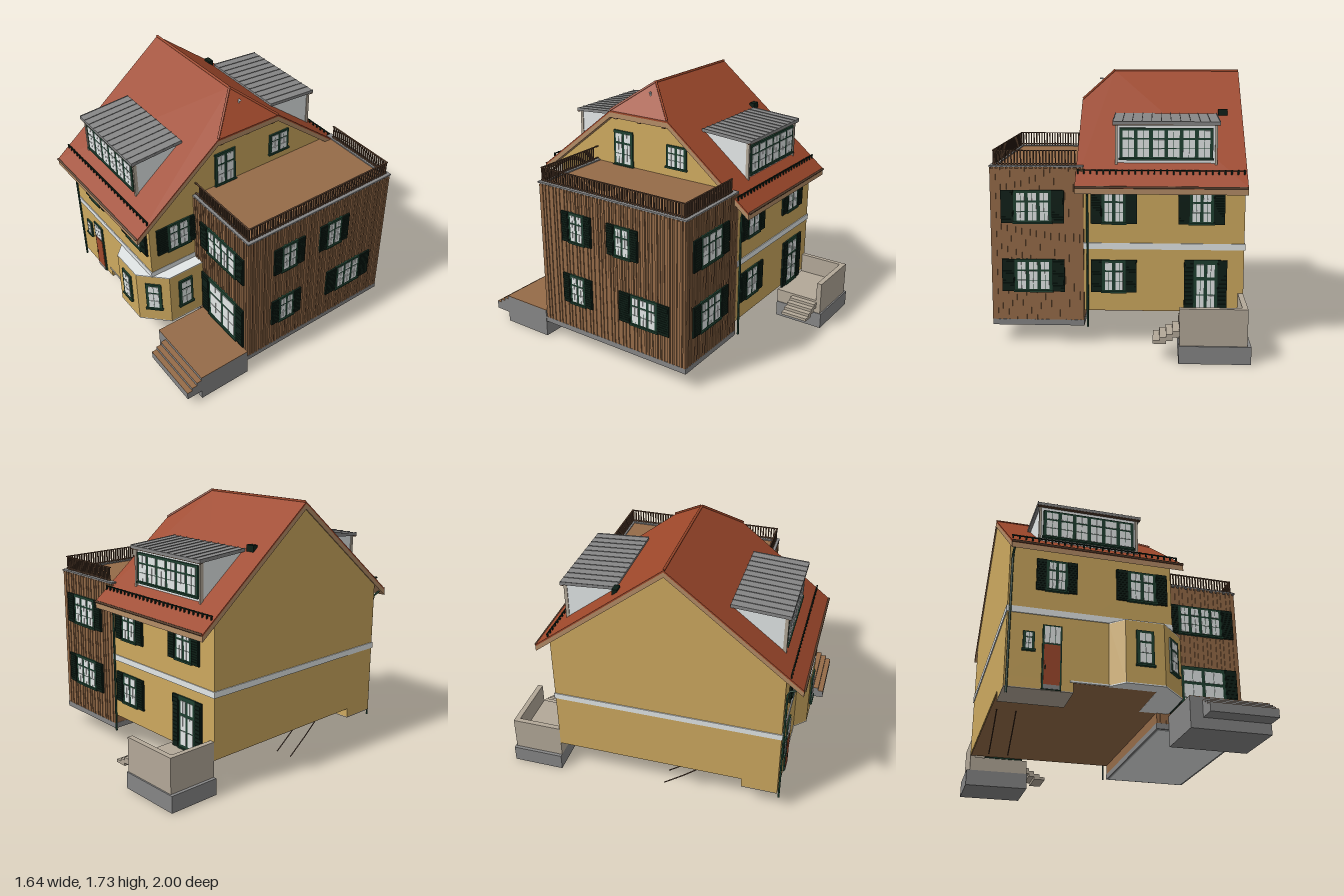
import * as THREE from 'three';
import { mergeGeometries } from 'three/addons/utils/BufferGeometryUtils.js';
import { ConvexGeometry } from 'three/addons/geometries/ConvexGeometry.js';

const mat = (name, color) => Object.assign(new THREE.MeshStandardMaterial({ color }), { name });

export function createModel() {
  const M = {
    roof: mat('roof tile red', 0x9e482b),
    wall: mat('ochre plaster', 0xcda95f),
    wood: mat('brown timber', 0x956b48),
    dark: mat('dark timber', 0x5c4230),
    grey: mat('grey concrete', 0x868686),
    beige: mat('beige stone', 0xb3a898),
    frame: mat('green frame', 0x1e4030),
    shutter: mat('dark shutter green', 0x0d1e16),
    pale: mat('pale glass and trim', 0xe8ecec),
    tan: mat('tan eaves', 0xb48c66),
  };
  const house = new THREE.Group();
  house.name = 'house';

  const add = (name, m, geo, parent = house) => {
    const mesh = new THREE.Mesh(geo, m);
    mesh.name = name;
    parent.add(mesh);
    return mesh;
  };
  // A list of boxes [x0, x1, y0, y1, z0, z1] merged into one mesh
  const boxes = (name, m, list, parent) => add(name, m, mergeGeometries(list.map(([a, b, c, d, e, f]) =>
    new THREE.BoxGeometry(b - a, d - c, f - e).translate((a + b) / 2, (c + d) / 2, (e + f) / 2))), parent);
  const extrude = (pts, depth) => new THREE.ExtrudeGeometry(
    new THREE.Shape(pts.map(p => new THREE.Vector2(...p))), { depth, bevelEnabled: false });
  // Plan outline [x, z] raised from y0 to y1
  const plan = (name, m, pts, y0, y1) =>
    add(name, m, extrude(pts.map(([x, z]) => [x, -z]), y1 - y0).rotateX(-Math.PI / 2).translate(0, y0, 0));
  // Side outline [z, y] drawn out from x0 to x1
  const section = (name, m, pts, x0, x1, parent) =>
    add(name, m, extrude(pts.map(([z, y]) => [-z, y]), x1 - x0).rotateY(Math.PI / 2).translate(x0, 0, 0), parent);
  // Convex sheet with vertical thickness
  const sheet = (name, m, pts, drop, t) => add(name, m, new ConvexGeometry(pts.flatMap(([x, y, z]) =>
    [new THREE.Vector3(x, y - drop, z), new THREE.Vector3(x, y - drop - t, z)])));
  const tube = (name, m, pts, r) => {
    const path = new THREE.CurvePath();
    const v = pts.map(p => new THREE.Vector3(...p));
    for (let i = 1; i < v.length; i++) path.add(new THREE.LineCurve3(v[i - 1], v[i]));
    return add(name, m, new THREE.TubeGeometry(path, 24, r, 6));
  };

  // Window: frame, panes and optional shutters, centred on x with its foot at y
  const windowUnit = (name, x, y, z, turn, w, h, casements, sw = 0, parent = house) => {
    const g = new THREE.Group();
    g.name = name;
    g.position.set(x, y, z);
    g.rotation.y = turn;
    parent.add(g);
    boxes('frame', M.frame, [[-w / 2, w / 2, 0, h, -0.01, 0.009], [-w / 2 - 0.006, w / 2 + 0.006, -0.004, 0.008, 0, 0.018]], g);
    const panes = [], cw = (w - 0.016) / casements, edge = Math.min(0.01, cw * 0.13);
    const rows = [[0.08, 0.345], [0.365, 0.63], [0.69, 0.92]];
    for (let c = 0; c < casements; c++)
      for (let k = 0; k < 2; k++)
        for (const [a, b] of rows) {
          const pw = cw / 2 - edge, x0 = -w / 2 + 0.008 + c * cw + edge + k * pw;
          panes.push([x0 + 0.0015, x0 + pw - 0.0015, h * a, h * b, 0.008, 0.012]);
        }
    boxes('panes', M.pale, panes, g);
    if (!sw) return;
    const leaves = [], slats = [];
    for (const s of [-1, 1]) {
      const c = s * (w + sw) / 2;
      leaves.push([c - sw / 2, c + sw / 2, 0, h, 0, 0.012]);
      for (let i = 0; i < 12; i++) {
        const y0 = h * (0.05 + i * 0.075);
        slats.push([c - sw / 2 + 0.006, c + sw / 2 - 0.006, y0, y0 + h * 0.066, 0.01, 0.016]);
      }
    }
    boxes('shutters', M.shutter, leaves, g);
    boxes('shutterSlats', M.shutter, slats, g);
  };

  // Main house
  section('mainWalls', M.wall, [[0.86, 0.22], [0.86, 1.086], [0.31, 1.525], [-0.09, 1.525], [-0.65, 1.078], [-0.65, 0.22]], -0.8, 0.21);
  section('atticWall', M.wall, [[0.31, 1.525], [0.11, 1.683], [-0.09, 1.525]], -0.8, 0);
  boxes('storeyBand', M.pale, [[-0.806, 0.212, 0.62, 0.66, -0.656, 0.866]]);
  boxes('floorSlab', M.wood, [[-0.795, 0.21, 0.215, 0.221, -0.645, 0.855]]);
  boxes('baseTrim', M.pale, [[-0.42, 0.2, 0.216, 0.226, 0.85, 0.864]]);
  boxes('entranceFoot', M.wall, [[-0.8, -0.4, 0.158, 0.22, 0.62, 0.86]]);
  boxes('entranceFloor', M.beige, [[-0.8, -0.4, 0.152, 0.158, 0.62, 0.86]]);

  // Roof with half hip at the right end
  const sheets = (name, pts) => {
    sheet(name + 'Tiles', M.roof, pts, 0, 0.012);
    sheet(name + 'Boards', M.tan, pts, 0.012, 0.035);
  };
  for (const s of [1, -1]) {
    const side = s > 0 ? 'front' : 'back', at = d => 0.11 + s * d;
    sheets(side + 'Roof', [[-0.808, 1.72, 0.11], [0.05, 1.72, 0.11], [0.257, 1.531, at(0.237)], [0.257, 1.035, at(0.86)], [-0.808, 1.035, at(0.86)]]);
    tube(side + 'Gutter', M.dark, [[-0.808, 1.032, at(0.862)], [0.257, 1.032, at(0.862)]], 0.008);
    tube(side + 'HipRidge', M.roof, [[0.05, 1.723, 0.11], [0.257, 1.534, at(0.237)]], 0.008);
    const guard = [[-0.8, 0.25, 1.122, 1.128, at(0.775) - 0.004, at(0.775) + 0.004]];
    for (let i = 0; i < 27; i++) {
      const x = -0.795 + i * 0.0398;
      guard.push([x, x + 0.009, 1.1, 1.13, at(0.775) - 0.004, at(0.775) + 0.004]);
    }
    boxes(side + 'SnowGuard', M.shutter, guard);
    const wz = s > 0 ? 0.87 : -0.66, x = s > 0 ? -0.785 : 0.187;
    tube(side + 'Downpipe', M.frame, [[x, 1.025, at(0.85)], [x, 0.99, wz], [x, 0.11, wz]], 0.007);
  }
  sheets('hip', [[0.05, 1.72, 0.11], [0.257, 1.531, 0.347], [0.257, 1.531, -0.127]]);
  tube('ridge', M.roof, [[-0.808, 1.719, 0.11], [0.05, 1.719, 0.11]], 0.009);
  boxes('purlinEnds', M.dark, [0.31, 0.11, -0.09].map(z => [0.2, 0.25, 1.475, 1.495, z - 0.012, z + 0.012]));
  tube('ventPipe', M.pale, [[0.13, 1.63, 0.095], [0.13, 1.665, 0.095], [0.155, 1.665, 0.095]], 0.006);
  boxes('roofVent', M.shutter, [[-0.71, -0.65, 1.43, 1.475, -0.25, -0.215]]);

  // Dormers, one per slope
  for (const turn of [0, Math.PI]) {
    const d = new THREE.Group();
    d.name = turn ? 'backDormer' : 'frontDormer';
    d.position.set(-0.305, 0, 0.11);
    d.rotation.y = turn;
    house.add(d);
    section('dormerWalls', M.pale, [[0.7, 1.15], [0.7, 1.41], [0.36, 1.435], [0.36, 1.415]], -0.315, 0.315, d);
    section('dormerRoof', M.grey, [[0.73, 1.405], [0.73, 1.424], [0.36, 1.448], [0.36, 1.43]], -0.335, 0.335, d);
    for (let i = 0; i < 12; i++) {
      const x = -0.335 + i * 0.0605;
      section('roofSeam', M.grey, [[0.73, 1.42], [0.73, 1.428], [0.36, 1.452], [0.36, 1.445]], x, x + 0.004, d);
    }
    boxes('dormerPosts', M.beige, [[-0.32, -0.305, 1.15, 1.41, 0.69, 0.712], [0.305, 0.32, 1.15, 1.41, 0.69, 0.712]], d);
    boxes('dormerFascia', M.dark, [[-0.335, 0.335, 1.4, 1.411, 0.71, 0.728]], d);
    windowUnit('dormerWindow', 0, 1.185, 0.702, 0, 0.585, 0.198, 6, 0, d);
  }

  // Bay
  const bay = [[-0.19, 0.85], [-0.19, 0.86], [-0.11, 0.94], [0.13, 0.94], [0.29, 0.78], [0.29, 0.515], [0.1, 0.515], [0.1, 0.85]];
  plan('bayWalls', M.wall, bay, 0.222, 0.616);
  plan('bayRoof', M.pale, bay, 0.616, 0.622);
  plan('bayFloor', M.pale, bay, 0.214, 0.222);

  // Timber annex
  boxes('annexBase', M.grey, [[0.21, 0.8, 0.113, 0.15, -0.65, 0.52]]);
  boxes('annexUnderside', M.pale, [[0.225, 0.785, 0.109, 0.114, -0.635, 0.505]]);
  boxes('annexWalls', M.wood, [[0.212, 0.796, 0.15, 1.13, -0.646, 0.516]]);
  const battens = [], step = [0.024, 0.038, 0.03];
  for (let x = 0.212, i = 0; x < 0.78; x += step[i++ % 3])
    battens.push([x, x + 0.016, 0.15, 1.14, 0.515, 0.521], [x, x + 0.016, 0.15, 1.14, -0.651, -0.645]);
  for (let z = -0.645, i = 0; z < 0.5; z += step[i++ % 3]) battens.push([0.795, 0.802, 0.15, 1.14, z, z + 0.016]);
  boxes('annexBattens', M.wood, battens);
  boxes('annexCoping', M.grey, [[0.212, 0.804, 1.14, 1.15, 0.48, 0.522], [0.212, 0.804, 1.14, 1.15, -0.652, -0.61], [0.762, 0.804, 1.14, 1.15, -0.652, 0.522]]);
  boxes('roofDeck', M.wood, [[0.21, 0.765, 1.12, 1.142, -0.62, 0.485]]);

  // Balustrade
  const rails = [];
  for (const y of [1.156, 1.239])
    rails.push([0.215, 0.785, y, y + 0.006, 0.495, 0.505], [0.255, 0.785, y, y + 0.006, -0.631, -0.621], [0.774, 0.784, y, y + 0.006, -0.632, 0.506]);
  for (let x = 0.262; x < 0.78; x += 0.02)
    rails.push([x, x + 0.008, 1.145, 1.244, 0.496, 0.504], [x, x + 0.008, 1.145, 1.244, -0.63, -0.622]);
  for (let z = -0.625; z < 0.5; z += 0.02) rails.push([0.775, 0.783, 1.145, 1.244, z, z + 0.008]);
  boxes('balustrade', M.dark, rails);

  // Garden terrace and steps
  boxes('terraceBase', M.grey, [[0.29, 0.802, 0, 0.196, 0.52, 0.89]]);
  boxes('terraceDeck', M.wood, [[0.29, 0.802, 0.196, 0.2, 0.52, 0.89]]);
  for (let i = 0; i < 3; i++) {
    const z = 0.89 + i * 0.0367, top = 0.175 - i * 0.024;
    boxes('terraceStep', M.grey, [[0.37, 0.802, 0.07, top - 0.003, z, z + 0.0367]]);
    boxes('terraceTread', M.wood, [[0.37, 0.802, top - 0.003, top, z, z + 0.0367]]);
  }

  // Back porch with parapet and side steps
  boxes('porchBase', M.grey, [[-0.82, -0.385, 0, 0.11, -1, -0.65]]);
  boxes('porchPlatform', M.beige, [[-0.79, -0.39, 0.11, 0.205, -0.97, -0.65]]);
  boxes('porchParapet', M.beige, [[-0.798, -0.39, 0.11, 0.34, -0.99, -0.955], [-0.798, -0.765, 0.11, 0.34, -0.99, -0.65]]);
  boxes('porchSteps', M.beige, [0, 1, 2, 3].map(i =>
    [-0.39 + i * 0.04, -0.35 + i * 0.04, Math.max(0.11, 0.15 - i * 0.02), 0.19 - i * 0.02, -0.96, -0.77]));

  // Thin rods below the left side
  for (const x of [-0.76, -0.64]) tube('groundRod', M.dark, [[x, 0.21, 0.34], [x, 0.11, 0.22], [x, 0.005, 0.08]], 0.004);

  // Windows: x, y, z, turn, width, height, casements, shutter width
  const R = Math.PI / 2, B = Math.PI;
  const list = [
    ['frontLeftWindow', -0.512, 0.785, 0.862, 0, 0.13, 0.21, 2, 0.06],
    ['frontRightWindow', 0.02, 0.785, 0.862, 0, 0.18, 0.21, 2, 0.072],
    ['annexFrontWindow', 0.533, 0.785, 0.522, 0, 0.305, 0.21, 4, 0.08],
    ['terraceDoors', 0.533, 0.215, 0.522, 0, 0.305, 0.34, 2, 0.08],
    ['smallFrontWindow', -0.668, 0.385, 0.862, 0, 0.068, 0.12, 1],
    ['bayFrontWindow', 0.008, 0.33, 0.942, 0, 0.108, 0.225, 1],
    ['bayCornerWindow', 0.211, 0.33, 0.861, B / 4, 0.108, 0.225, 1],
    ['baySideWindow', 0.292, 0.33, 0.66, R, 0.108, 0.225, 1],
    ['sideUpperWindow', 0.212, 0.785, 0.645, R, 0.17, 0.21, 2, 0.08],
    ['gableDoor', 0.212, 1.14, 0.267, R, 0.16, 0.25, 2],
    ['gableWindow', 0.212, 1.205, -0.172, R, 0.16, 0.155, 2],
    ['annexUpperWindowA', 0.802, 0.785, 0.198, R, 0.125, 0.21, 2, 0.06],
    ['annexUpperWindowB', 0.802, 0.785, -0.175, R, 0.125, 0.21, 2, 0.06],
    ['annexLowerWindowA', 0.802, 0.34, 0.207, R, 0.125, 0.21, 2, 0.06],
    ['annexLowerWindowB', 0.802, 0.34, -0.335, R, 0.21, 0.21, 3, 0.09],
    ['annexBackUpperWindow', 0.533, 0.785, -0.652, B, 0.24, 0.21, 3, 0.08],
    ['annexBackLowerWindow', 0.533, 0.34, -0.652, B, 0.24, 0.21, 3, 0.08],
    ['backUpperRightWindow', 0.02, 0.785, -0.652, B, 0.15, 0.21, 2, 0.07],
    ['backUpperLeftWindow', -0.53, 0.785, -0.652, B, 0.15, 0.21, 2, 0.07],
    ['backLowerWindow', 0.02, 0.34, -0.652, B, 0.15, 0.21, 2, 0.07],
    ['porchDoor', -0.56, 0.205, -0.652, B, 0.15, 0.35, 2, 0.06],
  ];
  for (const w of list) windowUnit(...w);

  // Front door
  boxes('doorFrame', M.frame, [[-0.588, -0.473, 0.155, 0.558, 0.85, 0.87]]);
  boxes('doorLeaf', M.roof, [[-0.578, -0.483, 0.183, 0.432, 0.86, 0.874]]);
  boxes('doorKickPlate', M.grey, [[-0.578, -0.483, 0.157, 0.183, 0.86, 0.874]]);
  boxes('doorPanes', M.pale, [0, 1, 2].map(i => [-0.577 + i * 0.032, -0.548 + i * 0.032, 0.442, 0.548, 0.86, 0.874]));
  boxes('doorHandle', M.shutter, [[-0.572, -0.567, 0.275, 0.3, 0.872, 0.88]]);

  return house;
}
